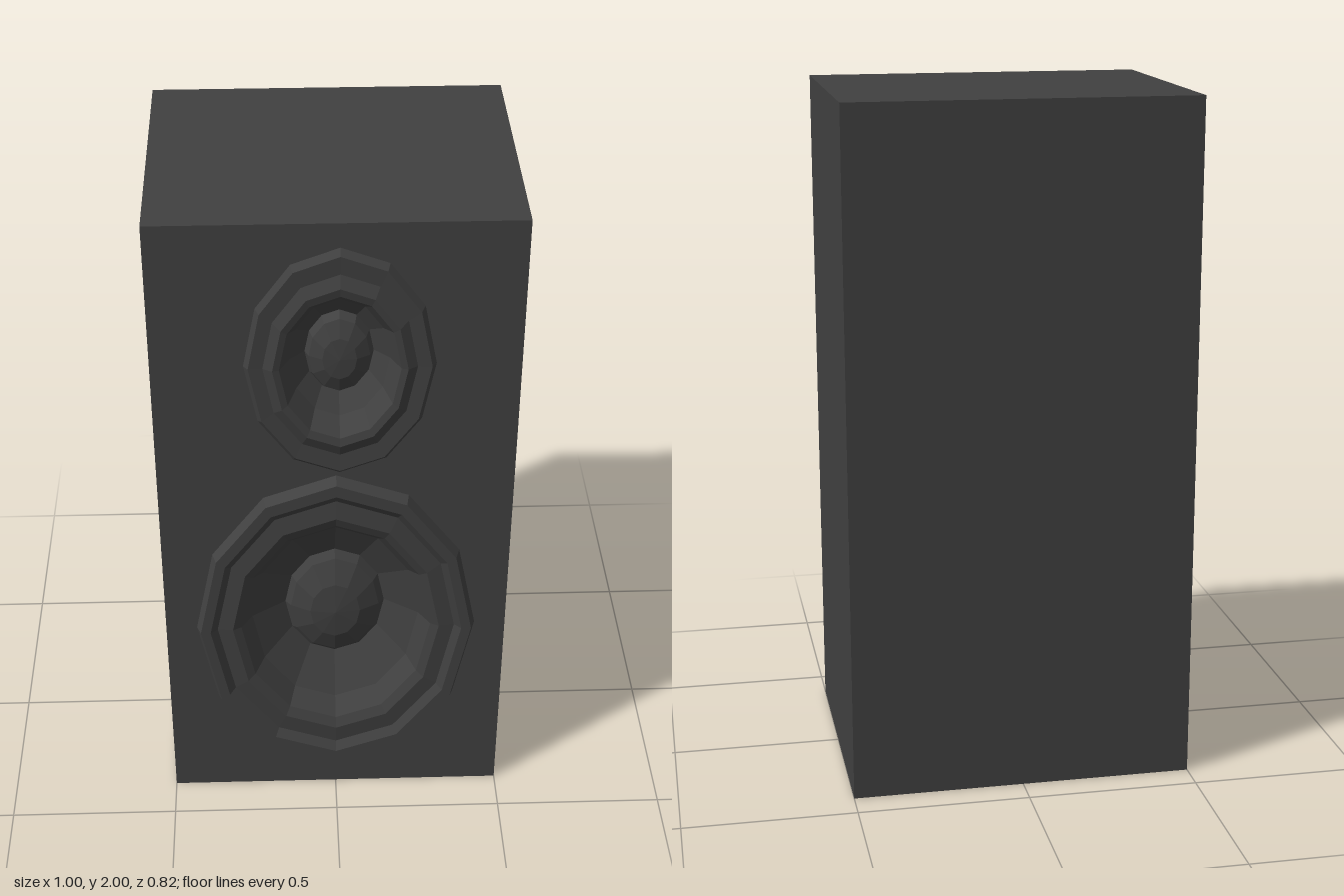
import * as THREE from 'three';

const FRONT = 0.38, BACK = -0.41, SIDES = 12;

// Faceted shading: every face gets its own normals
function faceted(geometry) {
  const g = geometry.toNonIndexed();
  g.computeVertexNormals();
  return g;
}

// Raised oval ring, sunken cone and centre dome; profile is [radius ratio, z] from rim to centre
function driverGeometry({ x, y, rx, ry, profile }) {
  const g = new THREE.LatheGeometry(profile.map(([r, z]) => new THREE.Vector2(r, z)), SIDES);
  g.rotateX(Math.PI / 2);
  g.scale(rx, ry, 1);
  g.translate(x, y, 0);
  return faceted(g);
}

// Oval opening in the baffle, hidden below the raised ring
function opening({ x, y, rx, ry }, ratio) {
  const points = [];
  for (let i = 0; i < SIDES; i++) {
    const a = (i / SIDES) * Math.PI * 2;
    points.push(new THREE.Vector2(x + Math.sin(a) * rx * ratio, y + Math.cos(a) * ry * ratio));
  }
  return new THREE.Path(points);
}

export function createModel() {
  const group = new THREE.Group();
  const charcoal = new THREE.MeshStandardMaterial({ color: 0x404040 });
  charcoal.name = 'charcoal';

  const add = (name, geometry) => {
    const mesh = new THREE.Mesh(geometry, charcoal);
    mesh.name = name;
    group.add(mesh);
  };

  const woofer = {
    x: 0, y: 0.65, rx: 0.41, ry: 0.55,
    profile: [[1, 0.379], [0.97, 0.41], [0.9, 0.41], [0.85, 0.392], [0.74, 0.398], [0.68, 0.385],
      [0.6, 0.335], [0.36, 0.27], [0.32, 0.29], [0.18, 0.32], [0, 0.33]],
  };
  const tweeter = {
    x: 0.01, y: 1.57, rx: 0.26, ry: 0.36,
    profile: [[1, 0.379], [0.95, 0.398], [0.8, 0.395], [0.7, 0.41], [0.63, 0.405], [0.52, 0.35],
      [0.36, 0.31], [0.32, 0.335], [0.18, 0.355], [0, 0.36]],
  };

  // Cabinet: a box without its front face
  const box = new THREE.BoxGeometry(1, 2, FRONT - BACK);
  const index = Array.from(box.index.array);
  index.splice(24, 6);
  box.setIndex(index);
  box.clearGroups();
  box.translate(0, 1, (FRONT + BACK) / 2);
  add('cabinet', box);

  // Front baffle with the two openings
  const panel = new THREE.Shape([[-0.5, 0], [0.5, 0], [0.5, 2], [-0.5, 2]].map(([x, y]) => new THREE.Vector2(x, y)));
  panel.holes.push(opening(woofer, 0.8), opening(tweeter, 0.8));
  const baffle = new THREE.ShapeGeometry(panel);
  baffle.translate(0, 0, FRONT);
  add('frontBaffle', baffle);

  add('woofer', driverGeometry(woofer));
  add('tweeter', driverGeometry(tweeter));
  return group;
}
